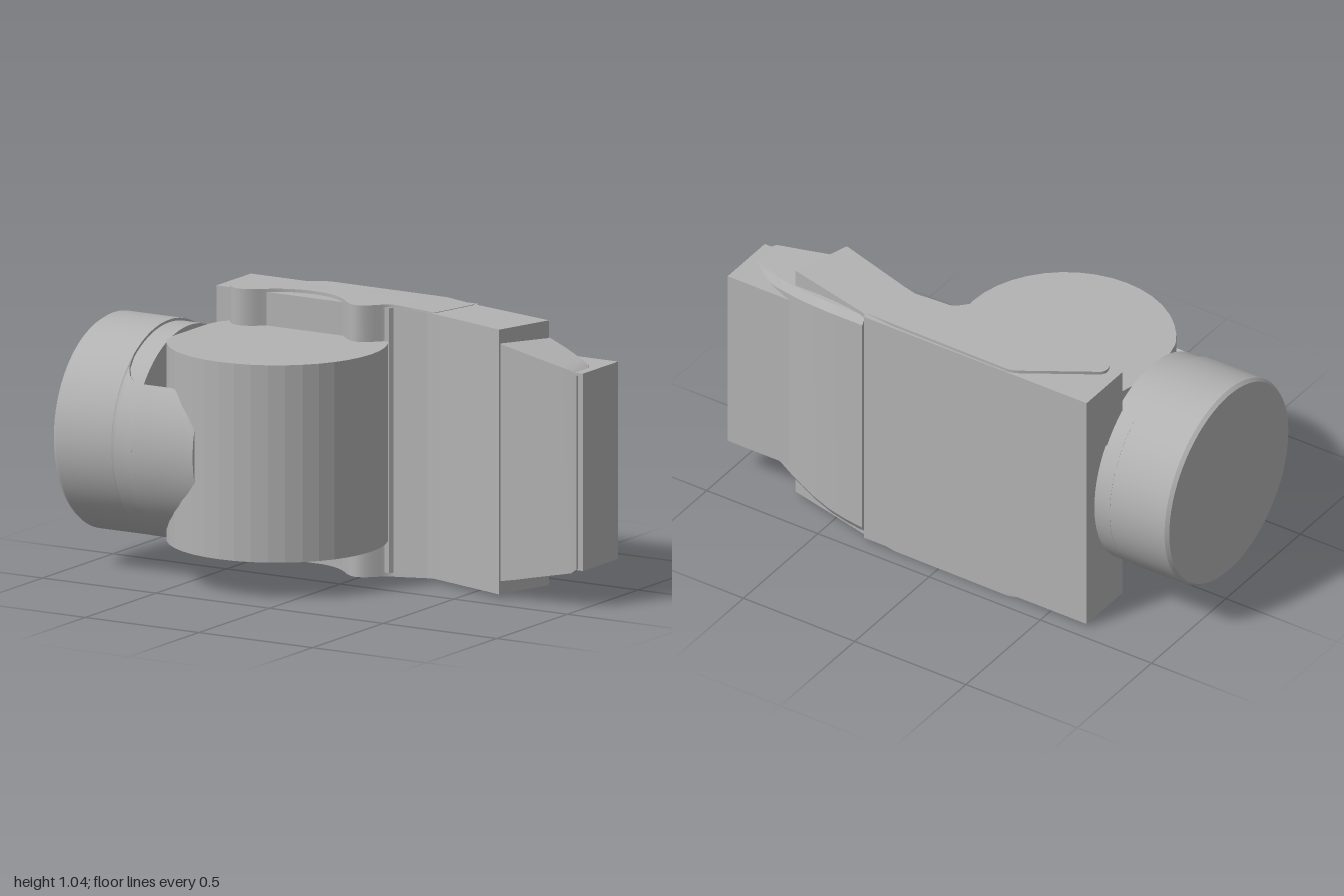
import * as THREE from 'three';
import { toCreasedNormals } from 'three/addons/utils/BufferGeometryUtils.js';

const MID = 0.52; // height of the horizontal axis of symmetry

// Solid skinned over rings of [x, y, z] points; rings run along +x, counterclockwise seen from +x
function loft(rings) {
  const pos = [], n = rings[0].length;
  const tri = (a, b, c) => pos.push(...a, ...b, ...c);
  for (let i = 0; i + 1 < rings.length; i++) {
    for (let j = 0; j < n; j++) {
      const k = (j + 1) % n, p = rings[i], q = rings[i + 1];
      tri(p[j], p[k], q[k]);
      tri(p[j], q[k], q[j]);
    }
  }
  const cap = (ring, flip) => {
    const flat = ring.map(p => new THREE.Vector2(p[1], p[2]));
    for (const [a, b, c] of THREE.ShapeUtils.triangulateShape(flat, [])) {
      if (flip) tri(ring[a], ring[c], ring[b]); else tri(ring[a], ring[b], ring[c]);
    }
  };
  cap(rings[0], true);
  cap(rings[rings.length - 1], false);
  const g = new THREE.BufferGeometry();
  g.setAttribute('position', new THREE.Float32BufferAttribute(pos, 3));
  return toCreasedNormals(g, 0.5);
}

// Upright prism from a plan outline drawn with shape y = -z
function prism(shape, y0, y1) {
  const g = new THREE.ExtrudeGeometry(shape, { depth: y1 - y0, bevelEnabled: false, curveSegments: 12 });
  g.rotateX(-Math.PI / 2);
  g.translate(0, y0, 0);
  return g;
}

// Curved shell around the x axis; each row is [x, upper angle, lower angle] in degrees from the front
function shell(rows, steps) {
  return loft(rows.map(([x, hi, lo]) => {
    const ring = [];
    const put = (r, t) => {
      const a = THREE.MathUtils.degToRad(hi + (lo - hi) * t);
      ring.push([x, MID + r * Math.sin(a), 0.02 + r * Math.cos(a)]);
    };
    for (let i = 0; i <= steps; i++) put(0.411, i / steps);
    for (let i = steps; i >= 0; i--) put(0.365, i / steps);
    return ring;
  }));
}

export function createModel() {
  const model = new THREE.Group();
  const grey = new THREE.MeshStandardMaterial({ color: 0xb2b2b2 });
  grey.name = 'plain grey';
  const add = (name, geometry) => {
    const mesh = new THREE.Mesh(geometry, grey);
    mesh.name = name;
    model.add(mesh);
    return mesh;
  };

  // Horizontal drum with a stepped collar and a slightly bevelled outer end
  const profile = [[0, 0.65], [0.4, 0.65], [0.4, 0.74], [0.41, 0.74], [0.41, 0.985], [0.4, 1], [0, 1]];
  const drum = new THREE.LatheGeometry(profile.map(p => new THREE.Vector2(...p)), 72);
  drum.rotateZ(Math.PI / 2);
  drum.translate(0, MID, 0.02);
  add('horizontalDrum', toCreasedNormals(drum, 0.5));

  // Sleeve around the collar, open over the top
  const sleeve = [[-0.74, 52], [-0.732, 44], [-0.715, 39], [-0.69, 36], [-0.65, 35]];
  add('drumSleeve', shell(sleeve.map(([x, a]) => [x, a, -180 - a]), 48));

  // Rounded tongue wrapping the front of the upright barrel
  add('drumTongue', shell([
    [-0.65, 35, -66], [-0.52, 35, -60], [-0.46, 33, -56],
    [-0.415, 28, -52], [-0.39, 22, -48], [-0.382, 15, -44]
  ], 24));

  // Upright faceted barrel, trimmed flat where it meets the drum
  const barrel = new THREE.CylinderGeometry(0.415, 0.415, 0.755, 40);
  const bp = barrel.attributes.position;
  for (let i = 0; i < bp.count; i++) bp.setX(i, Math.max(bp.getX(i), -0.385));
  barrel.translate(-0.265, 0.5225, 0.02);
  add('uprightBarrel', toCreasedNormals(barrel, 0.1));

  // Backing block with an angled end
  const plan = [
    [-0.67, -0.2], [0.09, -0.2], [0.1, -0.215], [0.25, -0.213], [0.32, -0.195],
    [0.637, -0.1], [0.708, -0.338], [0.34, -0.425], [0.33, -0.443], [-0.67, -0.443]
  ];
  add('backingBlock', prism(new THREE.Shape(plan.map(([x, z]) => new THREE.Vector2(x, -z))), 0.015, 1.028));

  // Wavy clamp plate with two rounded lobes, running the full height
  const wave = new THREE.Shape();
  wave.moveTo(-0.61, 0.26);
  wave.quadraticCurveTo(-0.635, 0.235, -0.61, 0.2);
  wave.bezierCurveTo(-0.575, 0.135, -0.515, 0.135, -0.46, 0.192);
  wave.bezierCurveTo(-0.36, 0.285, -0.2, 0.285, -0.1, 0.19);
  wave.bezierCurveTo(-0.03, 0.115, 0.0, 0.12, 0.06, 0.19);
  wave.quadraticCurveTo(0.085, 0.218, 0.11, 0.216);
  wave.lineTo(0.28, 0.216);
  wave.lineTo(0.33, 0.42);
  wave.lineTo(0.2, 0.434);
  wave.lineTo(-0.3, 0.438);
  wave.quadraticCurveTo(-0.33, 0.438, -0.36, 0.418);
  wave.closePath();
  const clamp = prism(wave, 0, 1.04);
  const cp = clamp.attributes.position;
  for (let i = 0; i < cp.count; i++) {
    // Plate thins out towards the nose
    if (cp.getX(i) > 0.25) cp.setY(i, cp.getY(i) > MID ? 1.03 : 0.013);
  }
  add('clampPlate', toCreasedNormals(clamp, 0.5));

  // Tapering nose with a curved back: [x, back z, front z, half height]
  const nose = [
    [0.34, -0.441, -0.26, 0.494], [0.42, -0.435, -0.24, 0.489], [0.5, -0.425, -0.2, 0.48],
    [0.58, -0.406, -0.16, 0.467], [0.645, -0.387, -0.1, 0.453], [0.71, -0.364, -0.098, 0.44],
    [0.8, -0.328, -0.098, 0.42], [0.9, -0.278, -0.098, 0.399], [0.955, -0.242, -0.098, 0.387],
    [0.978, -0.2, -0.1, 0.37]
  ];
  add('taperedNose', loft(nose.map(([x, b, f, h]) => [
    [x, MID - h, b + 0.02], [x, MID - h + 0.03, b], [x, MID + h - 0.03, b],
    [x, MID + h, b + 0.02], [x, MID + h, f], [x, MID - h, f]
  ])));

  // End block set into the nose
  add('endBlock', new THREE.BoxGeometry(0.3, 0.755, 0.25)).position.set(0.85, 0.5225, -0.234);

  return model;
}
